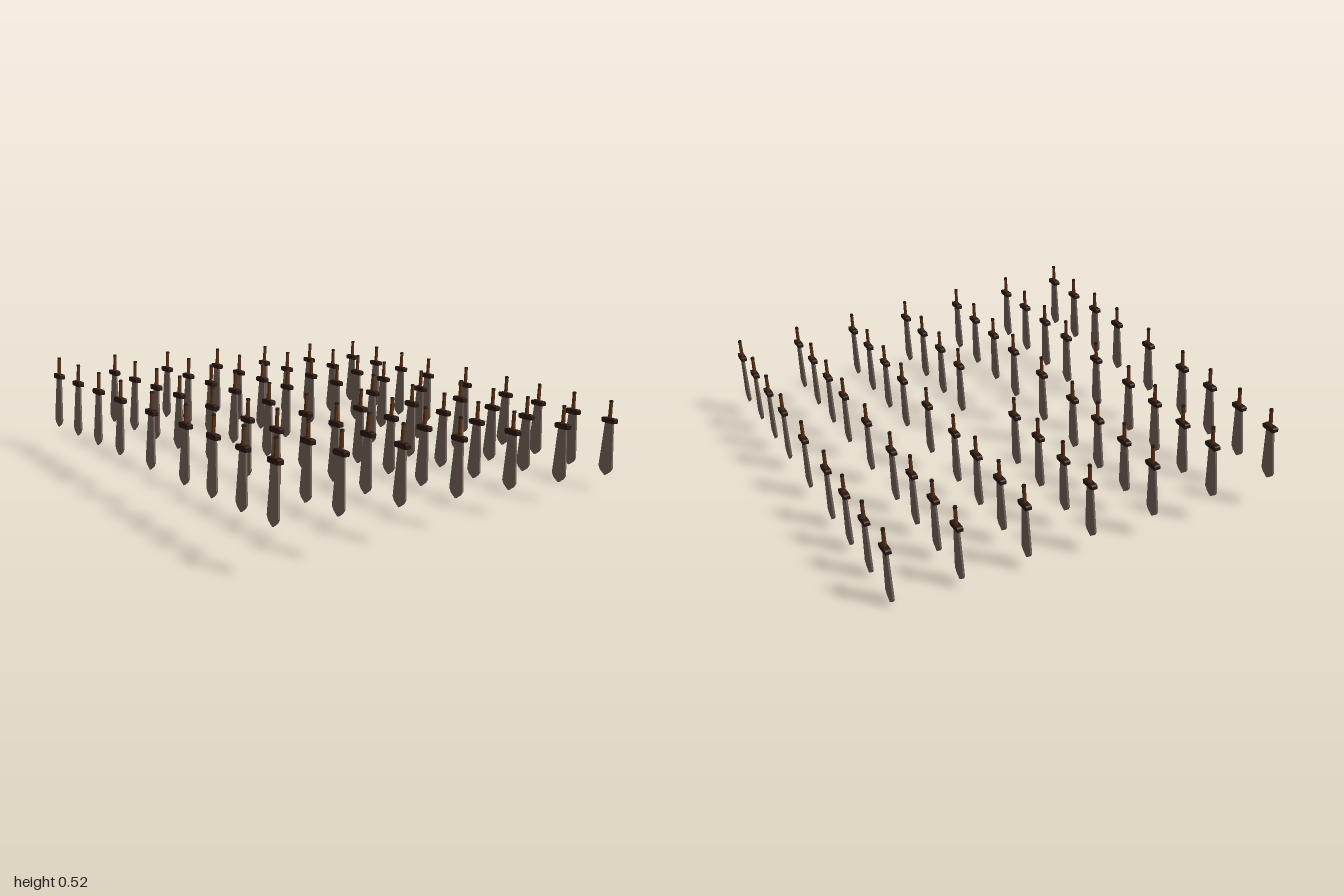
import * as THREE from 'three';

const bladeMat = new THREE.MeshStandardMaterial({ color: 0x75635a, flatShading: true });
const guardMat = new THREE.MeshStandardMaterial({ color: 0x2a1711, flatShading: true });
const gripMat = new THREE.MeshStandardMaterial({ color: 0x5a3015, flatShading: true });

// Blade: narrow at the guard, flaring towards a short point
function bladeGeometry() {
  const half = [[0.021, 0], [0.037, -0.205], [0.026, -0.222]];
  const s = new THREE.Shape();
  s.moveTo(-half[0][0], 0);
  half.slice(1).forEach(([x, y]) => s.lineTo(-x, y));
  s.lineTo(0, -0.24);
  half.slice().reverse().forEach(([x, y]) => s.lineTo(x, y));
  s.closePath();
  return new THREE.ExtrudeGeometry(s, { depth: 0.008, bevelEnabled: false }).translate(0, 0, -0.004);
}

// Guard: bar with chamfered ends
function guardGeometry() {
  const s = new THREE.Shape();
  [[-0.036, -0.007], [-0.03, -0.011], [0.03, -0.011], [0.036, -0.007],
    [0.036, 0.007], [0.03, 0.011], [-0.03, 0.011], [-0.036, 0.007]]
    .forEach(([x, y], i) => (i ? s.lineTo(x, y) : s.moveTo(x, y)));
  s.closePath();
  return new THREE.ExtrudeGeometry(s, { depth: 0.024, bevelEnabled: false }).translate(0, 0, -0.012);
}

export function createModel() {
  const root = new THREE.Group();
  root.name = 'swordFormation';

  // Tilted frame shared by the whole formation
  const formation = new THREE.Group();
  formation.name = 'tiltedGrid';
  const xAxis = new THREE.Vector3(1, 0.036, 0.0415).normalize();
  const yAxis = new THREE.Vector3(-0.044, 0.077, 1).cross(xAxis).normalize();
  const zAxis = xAxis.clone().cross(yAxis);
  formation.quaternion.setFromRotationMatrix(new THREE.Matrix4().makeBasis(xAxis, yAxis, zAxis));
  formation.position.set(-0.003, 0.343, -0.002);
  root.add(formation);

  const parts = [
    ['blade', bladeGeometry(), bladeMat],
    ['guard', guardGeometry(), guardMat],
    ['grip', new THREE.CylinderGeometry(0.0075, 0.0085, 0.074, 8).translate(0, 0.047, 0), gripMat],
    ['pommel', new THREE.CylinderGeometry(0.008, 0.009, 0.008, 8).translate(0, 0.083, 0), guardMat],
  ];

  // Nine columns by seven rows, with the centre left empty
  const columns = [-0.922, -0.71, -0.497, -0.283, 0, 0.283, 0.497, 0.71, 0.922];
  for (let row = -3; row <= 3; row++) {
    for (const x of columns) {
      if (row === 0 && x === 0) continue;
      const sword = new THREE.Group();
      sword.name = 'sword';
      for (const [name, geometry, material] of parts) {
        const mesh = new THREE.Mesh(geometry, material);
        mesh.name = name;
        sword.add(mesh);
      }
      sword.position.set(x, 0, row * 0.284);
      formation.add(sword);
    }
  }
  return root;
}
